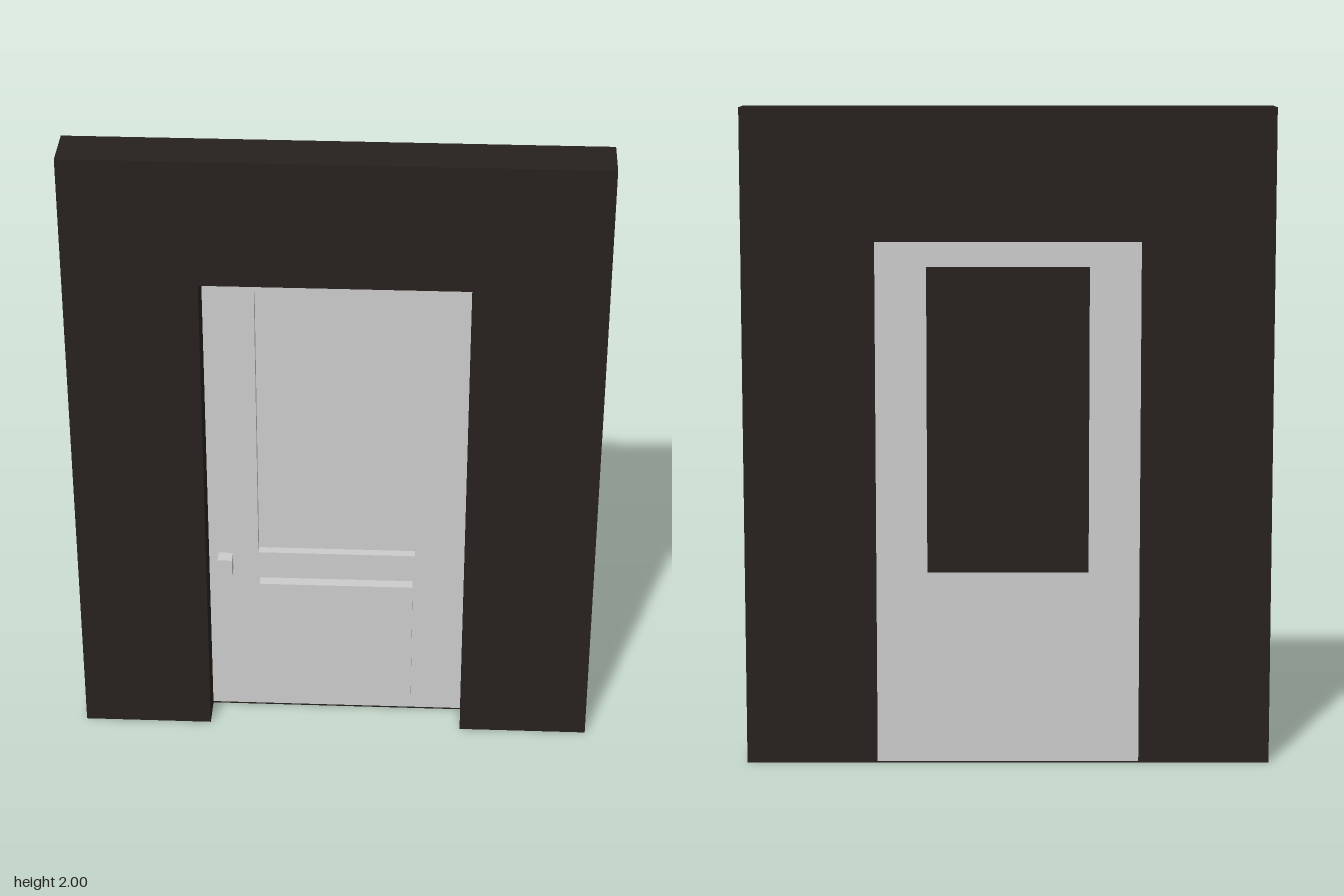
import * as THREE from 'three';

const HALF = 0.077; // half the wall thickness
const LEAF_FRONT = -0.026; // front face of the door leaf
const SILL = 0.005;

const dark = new THREE.MeshStandardMaterial({ color: 0x27211e });
const grey = new THREE.MeshStandardMaterial({ color: 0xcccccc });

// Box given by its limits on each axis
function block(name, material, [x0, x1], [y0, y1], [z0, z1]) {
  const mesh = new THREE.Mesh(new THREE.BoxGeometry(x1 - x0, y1 - y0, z1 - z0), material);
  mesh.position.set((x0 + x1) / 2, (y0 + y1) / 2, (z0 + z1) / 2);
  mesh.name = name;
  return mesh;
}

// Flat outline extruded between two depths
function slab(name, material, shape, z0, z1) {
  const geometry = new THREE.ExtrudeGeometry(shape, { depth: z1 - z0, bevelEnabled: false });
  const mesh = new THREE.Mesh(geometry, material);
  mesh.position.z = z0;
  mesh.name = name;
  return mesh;
}

function outline(points) {
  return new THREE.Shape(points.map(([x, y]) => new THREE.Vector2(x, y)));
}

export function createModel() {
  const model = new THREE.Group();
  model.name = 'doorInWall';

  // Wall with the doorway cut out of its lower edge
  const wall = outline([
    [-0.8, 0], [-0.4, 0], [-0.4, 1.6], [0.4, 1.6],
    [0.4, 0], [0.8, 0], [0.8, 2], [-0.8, 2],
  ]);
  model.add(slab('wall', dark, wall, -HALF, HALF));

  // Door, flush with the back of the wall and recessed at the front
  const door = new THREE.Group();
  door.name = 'door';
  const leaf = outline([[-0.4, SILL], [0.4, SILL], [0.4, 1.6], [-0.4, 1.6]]);
  leaf.holes.push(outline([[-0.245, 0.595], [-0.245, 1.525], [0.245, 1.525], [0.245, 0.595]]));
  door.add(
    slab('doorLeaf', grey, leaf, -HALF, LEAF_FRONT),
    block('threshold', dark, [-0.4, 0.4], [0, SILL], [-HALF, LEAF_FRONT]),
    // Upper panel: sunken grey face in front, dark pane at the back
    block('upperPanel', grey, [-0.245, 0.245], [0.595, 1.525], [-0.066, -0.055]),
    block('backPane', dark, [-0.245, 0.245], [0.595, 1.525], [-HALF, -0.066]),
    block('lowerPanel', grey, [-0.24, 0.24], [0.045, 0.5], [LEAF_FRONT, 0.01]),
    block('handle', grey, [-0.37, -0.325], [0.53, 0.59], [LEAF_FRONT, 0.018]),
  );
  model.add(door);

  return model;
}
